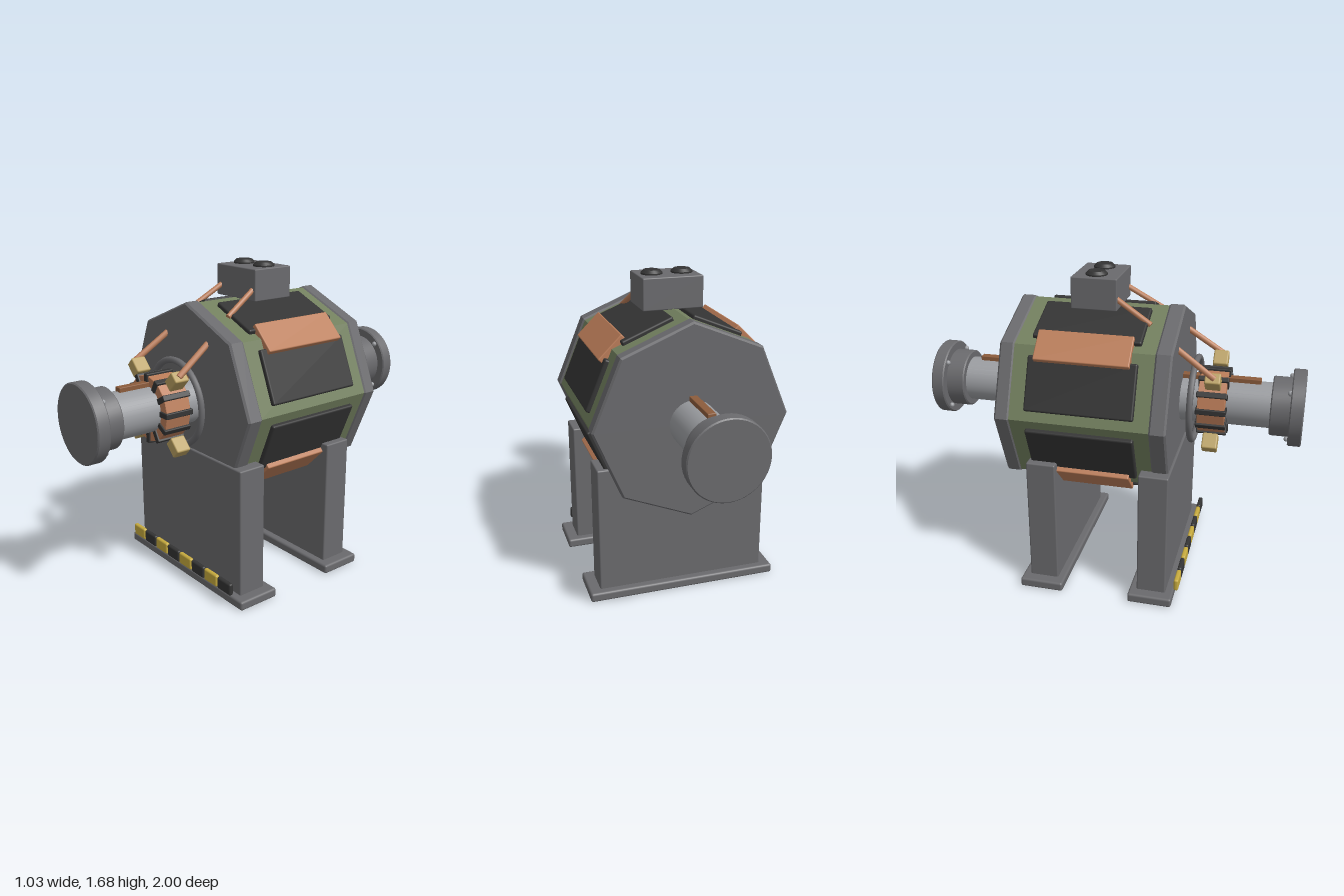
import * as THREE from 'three';
import { toCreasedNormals } from 'three/addons/utils/BufferGeometryUtils.js';
import { RoundedBoxGeometry } from 'three/addons/geometries/RoundedBoxGeometry.js';

const mat = (name, color) => {
  const m = new THREE.MeshStandardMaterial({ color });
  m.name = name;
  return m;
};

export function createModel() {
  const M = {
    frame: mat('frame grey', 0x6a6a6d),
    steel: mat('shaft steel', 0x9a9ca0),
    green: mat('casing green', 0x727f5e),
    black: mat('insulation black', 0x343434),
    copper: mat('copper', 0xba7c58),
    darkCopper: mat('dark copper', 0x8c5c3c),
    brass: mat('brass', 0xb89f60),
    yellow: mat('warning yellow', 0xc6aa3e),
  };
  const root = new THREE.Group();
  const AXIS = 1; // height of the shaft

  const add = (name, geo, material, x = 0, y = 0, z = 0, parent = root) => {
    const mesh = new THREE.Mesh(geo, material);
    mesh.name = name;
    mesh.position.set(x, y, z);
    parent.add(mesh);
    return mesh;
  };
  const group = (name, parent = root) => {
    const g = new THREE.Group();
    g.name = name;
    parent.add(g);
    return g;
  };
  const box = (w, h, d, r = 0.008) => new RoundedBoxGeometry(w, h, d, 2, r);

  // Chamfered drum along z; few sides stay faceted, many sides turn smooth
  const drum = (r, z0, z1, sides, c = 0.01) => {
    const pts = [[0, z0], [r - c, z0], [r, z0 + c], [r, z1 - c], [r - c, z1], [0, z1]];
    const g = new THREE.LatheGeometry(pts.map((p) => new THREE.Vector2(...p)), sides);
    g.rotateX(Math.PI / 2);
    return toCreasedNormals(g, 0.4);
  };
  // Straight round rod between two points
  const rod = (name, a, b, r, material) => {
    const from = new THREE.Vector3(...a), to = new THREE.Vector3(...b);
    const dir = to.clone().sub(from);
    const m = add(name, new THREE.CylinderGeometry(r, r, dir.length(), 10), material);
    m.position.copy(from).add(to).multiplyScalar(0.5);
    m.quaternion.setFromUnitVectors(new THREE.Vector3(0, 1, 0), dir.normalize());
  };
  // Place a part around the axis; its own x points outward
  const radial = (name, geo, material, r, angle, z, parent) => {
    const m = add(name, geo, material, r * Math.cos(angle), AXIS + r * Math.sin(angle), z, parent);
    m.rotation.z = angle;
    return m;
  };

  // Octagonal casing with its end plates
  add('casing', drum(0.5, -0.45, 0.29, 8, 0.004), M.green, 0, AXIS);
  add('frontEndPlate', drum(0.509, 0.277, 0.364, 8), M.frame, 0, AXIS);
  add('backEndPlate', drum(0.507, -0.517, -0.437, 8), M.frame, 0, AXIS);

  // Field poles on every casing face
  const poles = group('fieldPoles');
  const poleGeo = box(0.06, 0.28, 0.56, 0.01);
  for (let i = 0; i < 8; i++) {
    radial('fieldPole', poleGeo, M.black, 0.454, (i + 0.5) * Math.PI / 4, -0.08, poles);
  }

  // Copper coils on the diagonal casing corners
  const coils = group('fieldCoils');
  const coilGeo = box(0.04, 0.168, 0.49, 0.006);
  for (let i = 0; i < 4; i++) {
    radial('fieldCoil', coilGeo, M.copper, 0.495, (i + 0.5) * Math.PI / 2, -0.082, coils);
  }

  // Shaft and its key
  add('shaft', drum(0.12, -0.95, 0.95, 32, 0.004), M.steel, 0, AXIS);
  add('shaftKey', box(0.042, 0.04, 1.545, 0.004), M.darkCopper, 0, 1.122, 0);

  // Couplings at both shaft ends
  for (const s of [1, -1]) {
    const g = group(s > 0 ? 'frontCoupling' : 'backCoupling');
    g.position.y = AXIS;
    if (s < 0) g.rotation.y = Math.PI;
    add('couplingHub', drum(0.156, 0.832, 0.94, 40, 0.006), M.frame, 0, 0, 0, g);
    add('couplingFlange', drum(0.202, 0.93, 1, 48, 0.006), M.frame, 0, 0, 0, g);
    for (let i = 0; i < 4; i++) {
      const a = (i + 0.5) * Math.PI / 2;
      add('flangeBolt', new THREE.SphereGeometry(0.014, 10, 8), M.steel,
        0.178 * Math.cos(a), 0.178 * Math.sin(a), 0.925, g);
    }
  }

  // Commutator: copper segments divided by insulation bars
  const commutator = group('commutator');
  add('commutatorSegments', drum(0.174, 0.463, 0.605, 12, 0.002), M.copper, 0, AXIS, 0, commutator);
  const barGeo = box(0.07, 0.03, 0.158, 0.005);
  for (let i = 0; i < 12; i++) {
    radial('insulationBar', barGeo, M.black, 0.147, i * Math.PI / 6, 0.534, commutator);
  }

  // Brush ring, brush holders and brush leads
  add('brushRing', new THREE.TorusGeometry(0.221, 0.017, 10, 48), M.frame, 0, AXIS, 0.432);
  const brushes = group('brushHolders');
  const brushGeo = box(0.086, 0.062, 0.08, 0.008);
  for (let i = 0; i < 4; i++) {
    radial('brushHolder', brushGeo, M.brass, 0.24, (i + 0.5) * Math.PI / 2, 0.54, brushes);
  }
  for (const s of [1, -1]) {
    rod('brushLead', [s * 0.2, 1.195, 0.55], [s * 0.174, 1.335, 0.345], 0.016, M.copper);
    rod('terminalLead', [s * 0.128, 1.555, 0.025], [s * 0.16, 1.44, 0.215], 0.014, M.copper);
  }

  // Terminal box with two low caps
  add('terminalBox', box(0.318, 0.165, 0.24, 0.006), M.frame, 0, 1.577, -0.082);
  for (const s of [1, -1]) {
    const cap = drum(0.056, -0.02, 0.02, 24, 0.014);
    cap.rotateX(-Math.PI / 2);
    add('terminalCap', cap, M.black, s * 0.08, 1.661, -0.085);
  }

  // Pedestals and base plates
  for (const s of [1, -1]) {
    const g = group(s > 0 ? 'frontPedestal' : 'backPedestal');
    add('pedestalWall', box(0.912, 0.7, 0.156), M.frame, 0, 0.39, s * 0.298, g);
    add('basePlate', box(1.03, 0.05, 0.236, 0.012), M.frame, 0, 0.03, s * 0.299, g);
  }

  // Warning strip of alternating blocks
  const strip = group('warningStrip');
  const blockGeo = box(0.108, 0.066, 0.025, 0.01);
  for (let i = 0; i < 8; i++) {
    add('warningBlock', blockGeo, i % 2 ? M.black : M.yellow, (i - 3.5) * 0.1143, 0.108, 0.432, strip);
  }

  return root;
}
